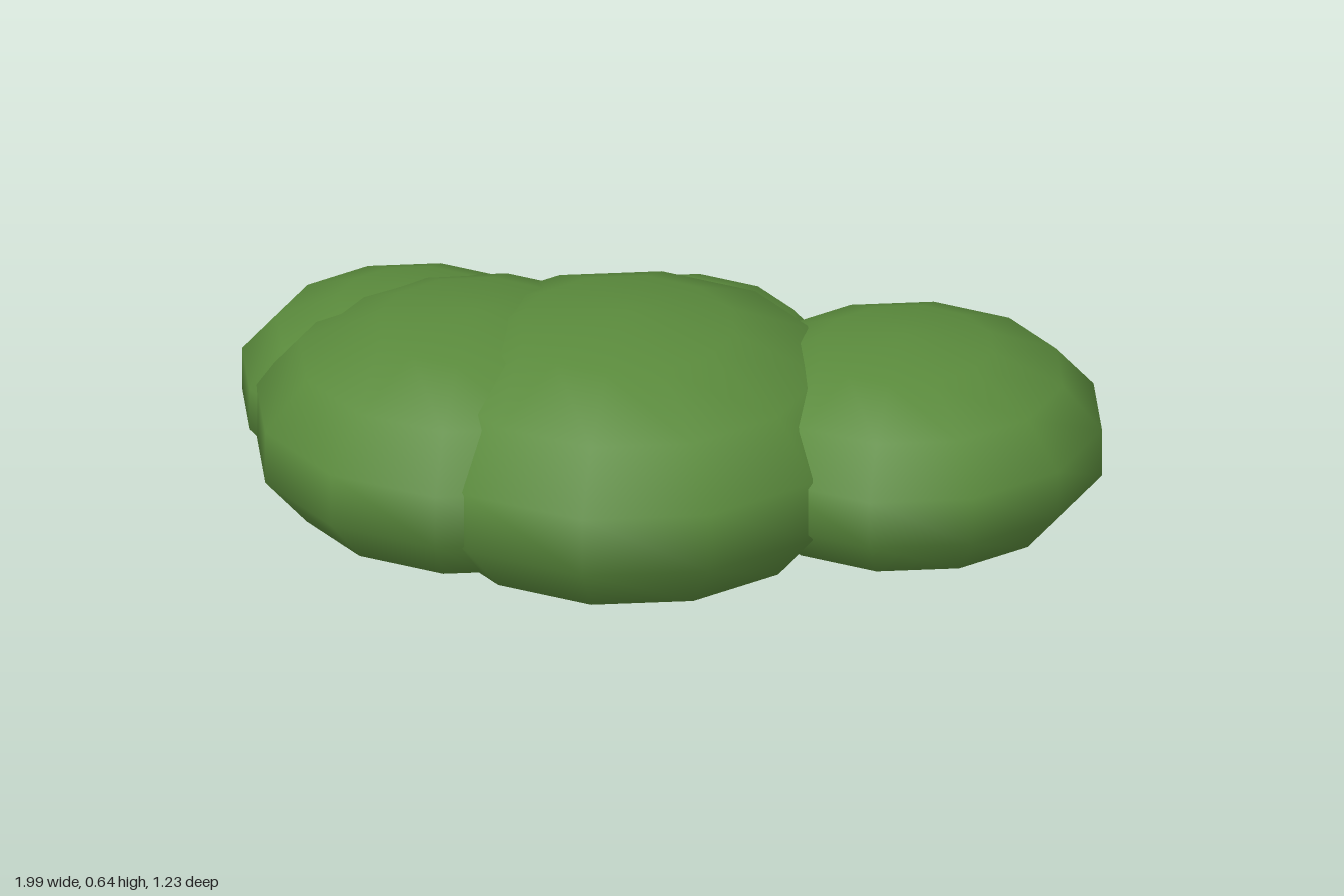
import * as THREE from 'three';

// Leafy bush made of overlapping flattened low-poly spheres
export function createModel() {
  const group = new THREE.Group();
  group.name = 'bush';
  const leaf = new THREE.MeshStandardMaterial({ color: 0x5a8a3c });
  const flatten = 0.556;

  // name, x, z, radius
  const lobes = [
    ['mainLobe', -0.08, 0.05, 0.575],
    ['leftLobe', 0.54, -0.07, 0.465],
    ['rightFrontLobe', -0.43, 0.04, 0.518],
    ['rightBackLobe', -0.6, -0.14, 0.41],
    ['backLobe', -0.02, -0.265, 0.36],
  ];

  for (const [name, x, z, radius] of lobes) {
    const geometry = new THREE.SphereGeometry(radius, 12, 7);
    geometry.scale(1, flatten, 1);
    const lobe = new THREE.Mesh(geometry, leaf);
    lobe.name = name;
    lobe.position.set(x, 0.32, z);
    group.add(lobe);
  }
  return group;
}
